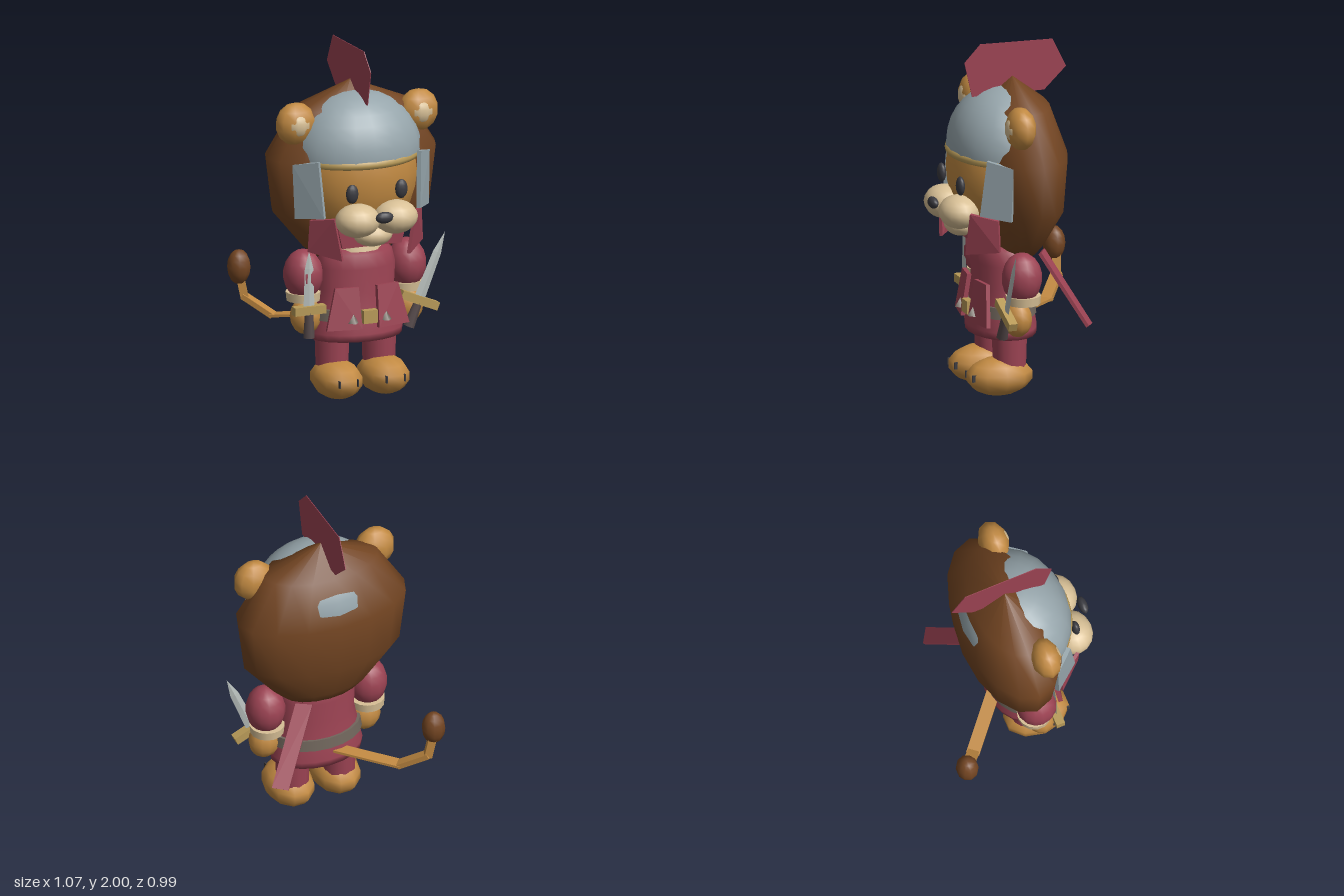
import * as THREE from 'three';
import { ConvexGeometry } from 'three/addons/geometries/ConvexGeometry.js';

const paint = (name, color, side = THREE.FrontSide) => {
  const m = new THREE.MeshStandardMaterial({ color, side });
  m.name = name;
  return m;
};

export function createModel() {
  const maneBrown = paint('mane brown', 0x734522);
  const fur = paint('golden fur', 0xc28a42);
  const red = paint('crimson cloth', 0x9c4353);
  const steel = paint('helmet steel', 0x96a5ab);
  const cream = paint('cream', 0xd8c096);
  const dark = paint('charcoal', 0x3a3a40);
  const brass = paint('brass', 0xb89a58);
  const strap = paint('belt leather', 0x70665c);
  const bladeSteel = paint('blade steel', 0xb8bfbc);
  const grip = paint('grip', 0x55494a);

  const root = new THREE.Group();
  const body = new THREE.Group();
  body.name = 'lionKnight';
  body.position.x = 0.02;
  root.add(body);

  const add = (name, geo, mat, pos = [0, 0, 0], parent = body) => {
    const m = new THREE.Mesh(geo, mat);
    m.name = name;
    m.position.set(...pos);
    parent.add(m);
    return m;
  };
  const ball = (name, mat, pos, r, w = 16, h = 10) =>
    add(name, new THREE.SphereGeometry(1, w, h).scale(...r), mat, pos);
  // Thin plate from corner points, thickened along its normal
  const plate = (name, mat, corners, t = 0.02) => {
    const p = corners.map(c => new THREE.Vector3(...c));
    const n = new THREE.Vector3().crossVectors(p[1].clone().sub(p[0]), p[2].clone().sub(p[0])).setLength(t / 2);
    return add(name, new ConvexGeometry(p.flatMap(v => [v.clone().add(n), v.clone().sub(n)])), mat);
  };
  // Flat bar between two points
  const bar = (name, mat, a, b, w, t) => {
    const p = new THREE.Vector3(...a), q = new THREE.Vector3(...b);
    const m = new THREE.Mesh(new THREE.BoxGeometry(w, t, p.distanceTo(q) + 0.015), mat);
    m.name = name;
    m.position.lerpVectors(p, q, 0.5);
    m.lookAt(q);
    body.add(m);
  };
  const lathe = (pts, seg) => new THREE.LatheGeometry(pts.map(p => new THREE.Vector2(...p)), seg);

  // Mane: flattened, coarse round
  add('mane', lathe([[0, 0.775], [0.22, 0.8], [0.29, 0.86], [0.475, 1.08], [0.514, 1.39], [0.345, 1.66], [0, 1.8]], 16)
    .scale(1, 1, 0.535), maneBrown);

  // Head, helmet and crest
  ball('head', fur, [0, 1.29, 0.055], [0.365, 0.41, 0.315], 20, 14);
  add('helmet', new THREE.SphereGeometry(1, 20, 8, 0, Math.PI * 2, 0, Math.PI / 2).scale(0.385, 0.35, 0.312),
    steel, [0, 1.4, 0.055]);
  add('helmetBand', new THREE.TorusGeometry(1, 0.07, 8, 24, Math.PI).rotateX(Math.PI / 2).scale(0.35, 0.37, 0.298),
    brass, [0, 1.385, 0.055]);
  const crest = new THREE.Shape([[0.24, 1.7], [0.285, 1.9], [0.19, 2], [-0.24, 1.99], [-0.32, 1.825], [-0.19, 1.7]]
    .map(p => new THREE.Vector2(...p)));
  add('crest', new THREE.ExtrudeGeometry(crest, { depth: 0.004, bevelEnabled: false }).rotateY(-Math.PI / 2), red, [0.002, 0, 0]);

  // Face
  ball('chin', cream, [0, 0.975, 0.31], [0.115, 0.068, 0.09]);
  ball('nose', dark, [0, 1.11, 0.472], [0.054, 0.033, 0.027], 12, 8);

  // Tunic, neck trim and belt
  const depth = 0.7;
  add('tunic', lathe([[0, 0.34], [0.27, 0.34], [0.275, 0.38], [0.255, 0.47], [0.225, 0.62], [0.232, 0.75], [0.212, 0.83],
    [0.18, 0.86], [0, 0.87]], 20).scale(1, 1, depth), red, [0, 0, 0.07]);
  add('neckTrim', new THREE.CylinderGeometry(0.15, 0.16, 0.035, 16).scale(1, 1, 0.9), cream, [0, 0.865, 0.07]);
  add('belt', new THREE.CylinderGeometry(0.262, 0.272, 0.065, 20).scale(1, 1, depth), strap, [0, 0.49, 0.07]);
  add('buckle', new THREE.BoxGeometry(0.085, 0.075, 0.04), brass, [0, 0.488, 0.265]);

  // Front of the raised collar
  plate('collarFront', red, [[-0.22, 1.06, 0.3], [-0.18, 0.905, 0.29], [0.18, 0.905, 0.29], [0.22, 1.06, 0.3]]);

  // Paired parts
  for (const s of [-1, 1]) {
    const side = s > 0 ? 'left' : 'right';
    ball(side + 'Ear', fur, [s * 0.375, 1.6, 0.09], [0.12, 0.122, 0.085], 10, 7);
    ball(side + 'InnerEar', cream, [s * 0.375, 1.6, 0.137], [0.068, 0.07, 0.042], 10, 7);
    ball(side + 'Eye', dark, [s * 0.15, 1.235, 0.365], [0.038, 0.055, 0.024], 12, 8);
    ball(side + 'Muzzle', cream, [s * 0.115, 1.077, 0.36], [0.13, 0.095, 0.115]);
    plate(side + 'CheekGuard', steel, [[s * 0.305, 1.41, 0.26], [s * 0.41, 1.38, 0.14],
      [s * 0.4, 1.07, 0.15], [s * 0.285, 1.09, 0.295]], 0.025);
    plate(side + 'Collar', red, [[s * 0.245, 1.095, 0.34], [s * 0.2, 0.85, 0.35],
      [s * 0.345, 0.885, 0.2], [s * 0.335, 1.065, 0.205]]);
    plate(side + 'TunicFlap', red, [[s * 0.055, 0.655, 0.235], [s * 0.19, 0.655, 0.215],
      [s * 0.25, 0.42, 0.235], [s * 0.05, 0.42, 0.275]], 0.025);
    add(side + 'Stud', new THREE.ConeGeometry(0.032, 0.05, 4), strap, [s * 0.1, 0.485, 0.272]);

    // Arms
    ball(side + 'Sleeve', red, [s * 0.315, 0.715, 0.06], [0.112, 0.145, 0.115], 14, 9);
    add(side + 'Cuff', new THREE.CylinderGeometry(0.1, 0.095, 0.05, 14), cream, [s * 0.31, 0.59, 0.05]);
    ball(side + 'Hand', fur, [s * 0.31, 0.48, 0.085], [0.092, 0.105, 0.082], 12, 8);

    // Legs and paws
    add(side + 'Leg', new THREE.CylinderGeometry(0.1, 0.093, 0.22, 14), red, [s * 0.143, 0.27, 0.07]);
    ball(side + 'Foot', fur, [s * 0.143, 0.11, 0.13], [0.14, 0.11, 0.195], 10, 7);
    for (const d of [-0.055, 0.055])
      add(side + 'ToeLine', new THREE.BoxGeometry(0.008, 0.04, 0.03), dark, [s * 0.143 + d, 0.12, 0.297]);
  }

  // Hanging scarf end behind the left shoulder
  plate('scarfTail', red, [[0.12, 0.81, -0.14], [0.2, 0.81, -0.09], [0.44, 0.43, -0.285], [0.36, 0.42, -0.335]]);

  // Tail with tuft
  const tail = [[-0.04, 0.425, -0.08], [-0.33, 0.385, -0.33], [-0.455, 0.48, -0.435], [-0.48, 0.61, -0.445]];
  [[0.075, 0.015], [0.065, 0.03], [0.05, 0.045]].forEach(([w, t], i) => bar('tailSegment', fur, tail[i], tail[i + 1], w, t));
  ball('tailTuft', maneBrown, [-0.49, 0.655, -0.432], [0.068, 0.1, 0.064], 10, 8);

  // Weapons held in the hands
  const weapon = (name, pos, tilt, length, guard) => {
    const g = new THREE.Group();
    g.name = name;
    g.position.set(...pos);
    g.rotation.z = tilt;
    body.add(g);
    const rows = [[0, 0.034, 0.008], [length * 0.7, 0.026, 0.008]];
    const pts = rows.flatMap(([y, w, d]) => [[w, y, 0], [-w, y, 0], [0, y, d], [0, y, -d]]).concat([[0, length, 0]]);
    add('blade', new ConvexGeometry(pts.map(p => new THREE.Vector3(...p))), bladeSteel, [0, 0, 0], g);
    add('guard', new THREE.BoxGeometry(guard, 0.048, 0.05), brass, [0, 0, 0], g);
    add('grip', new THREE.CylinderGeometry(0.025, 0.034, 0.15, 8), grip, [0, -0.085, 0], g);
  };
  weapon('sword', [0.345, 0.52, 0.165], -0.4, 0.41, 0.24);
  weapon('dagger', [-0.325, 0.535, 0.165], 0, 0.34, 0.19);

  return root;
}
